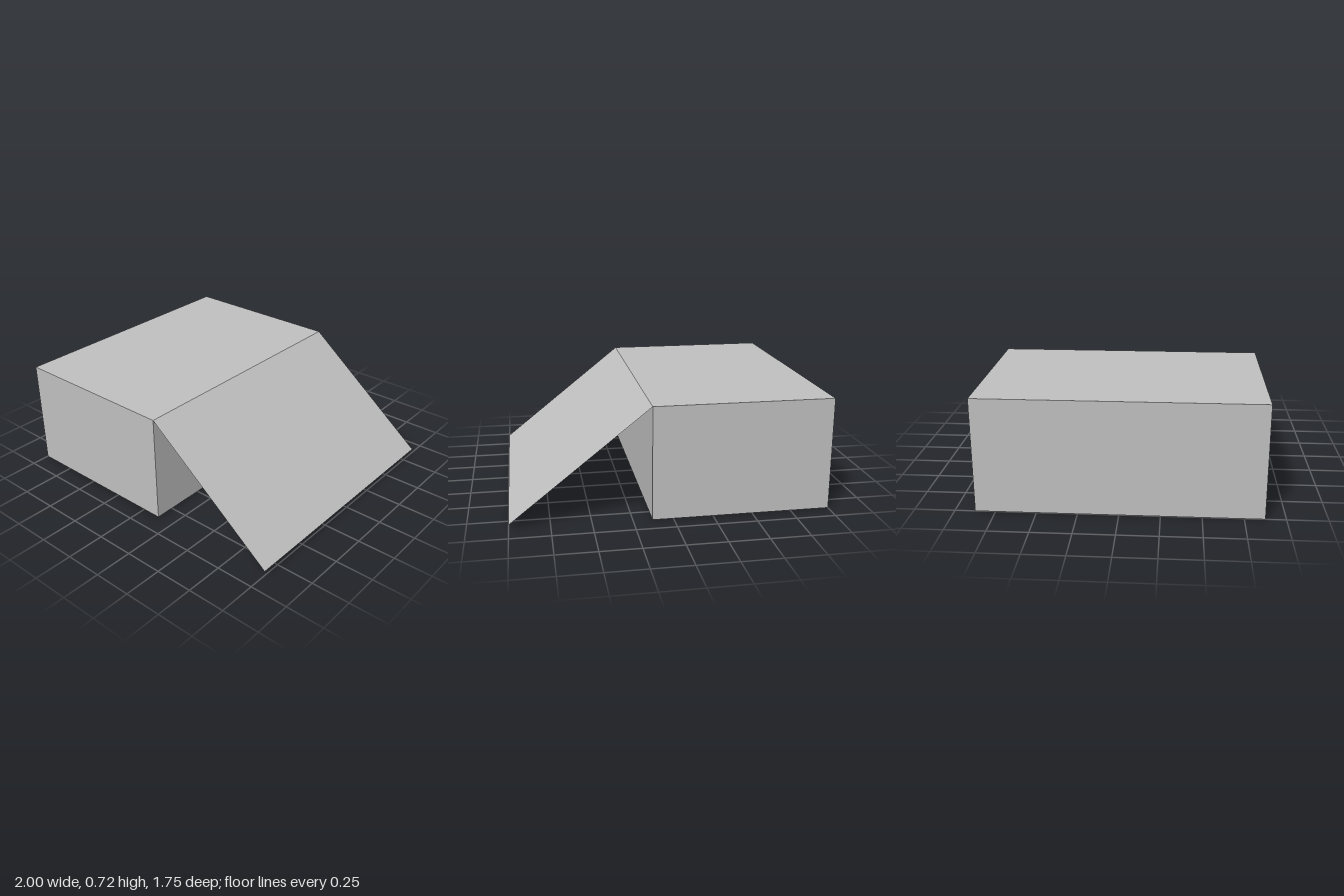
import * as THREE from 'three';

const LEFT = -1, RIGHT = 0.13, TOP = 0.72, HALF_DEPTH = 0.875;

export function createModel() {
  const model = new THREE.Group();
  model.name = 'openCarton';
  const grey = new THREE.MeshStandardMaterial({ color: 0xc0c0c0, side: THREE.DoubleSide });
  grey.name = 'grey';

  // Flat sheet, placed by its centre and turned by Euler angles
  const sheet = (name, width, height, position, rotation = [0, 0, 0]) => {
    const mesh = new THREE.Mesh(new THREE.PlaneGeometry(width, height), grey);
    mesh.name = name;
    mesh.position.set(...position);
    mesh.rotation.set(...rotation);
    model.add(mesh);
  };

  const width = RIGHT - LEFT, depth = 2 * HALF_DEPTH;
  const midX = (LEFT + RIGHT) / 2, midY = TOP / 2;

  // Four walls and a top, open underneath
  sheet('frontWall', width, TOP, [midX, midY, HALF_DEPTH]);
  sheet('backWall', width, TOP, [midX, midY, -HALF_DEPTH], [0, Math.PI, 0]);
  sheet('leftWall', depth, TOP, [RIGHT, midY, 0], [0, Math.PI / 2, 0]);
  sheet('rightWall', depth, TOP, [LEFT, midY, 0], [0, -Math.PI / 2, 0]);
  sheet('topPanel', width, depth, [midX, TOP, 0], [-Math.PI / 2, 0, 0]);

  // Flap sloping down from the top edge
  const endX = 1, endY = 0.03;
  const run = endX - RIGHT, drop = TOP - endY;
  sheet('slopingFlap', Math.hypot(run, drop), depth,
    [(RIGHT + endX) / 2, (TOP + endY) / 2, 0], [-Math.PI / 2, Math.atan2(drop, run), 0]);

  return model;
}
